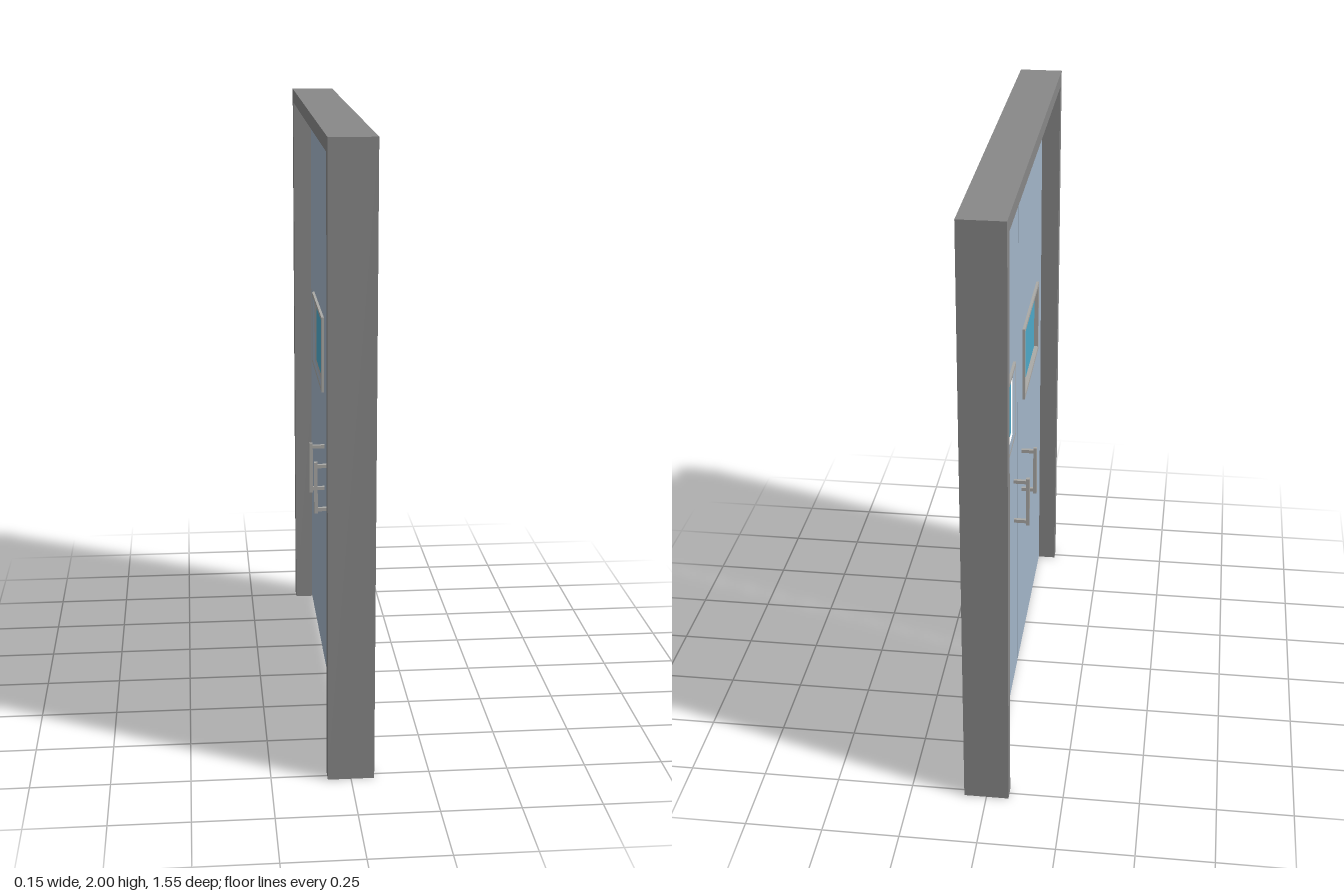
import * as THREE from 'three';

const mat = (color) => new THREE.MeshStandardMaterial({ color });

// Closed rectangle in (z, y), usable as shape or hole
function rect(target, z0, z1, y0, y1) {
  target.moveTo(z0, y0);
  target.lineTo(z1, y0);
  target.lineTo(z1, y1);
  target.lineTo(z0, y1);
  target.closePath();
  return target;
}

// Extrude a (z, y) outline along x, centred on x = 0
function slab(name, shape, depth, material) {
  const geo = new THREE.ExtrudeGeometry(shape, { depth, bevelEnabled: false });
  geo.translate(0, 0, -depth / 2);
  geo.rotateY(-Math.PI / 2);
  const mesh = new THREE.Mesh(geo, material);
  mesh.name = name;
  return mesh;
}

function box(name, w, h, d, x, y, z, material) {
  const mesh = new THREE.Mesh(new THREE.BoxGeometry(w, h, d), material);
  mesh.position.set(x, y, z);
  mesh.name = name;
  return mesh;
}

export function createModel() {
  const group = new THREE.Group();
  group.name = 'doubleDoor';
  const steel = mat(0x888888);
  const paint = mat(0xa4b6c9);
  const glass = mat(0x4ea9ca);
  const trim = mat(0xaaa9a6);

  // Door frame: two jambs and a header in one outline
  const outline = new THREE.Shape([
    [-0.777, 0], [-0.729, 0], [-0.729, 1.953], [0.729, 1.953],
    [0.729, 0], [0.777, 0], [0.777, 2], [-0.777, 2],
  ].map(([z, y]) => new THREE.Vector2(z, y)));
  group.add(slab('doorFrame', outline, 0.146, steel));

  for (const s of [1, -1]) {
    const leaf = new THREE.Group();
    leaf.name = s > 0 ? 'frontLeaf' : 'backLeaf';

    // Leaf panel with a window opening
    const panel = rect(new THREE.Shape(), s * 0.005, s * 0.726, 0.005, 1.949);
    panel.holes.push(rect(new THREE.Path(), s * 0.139, s * 0.555, 1.018, 1.267));
    leaf.add(slab('doorPanel', panel, 0.02, paint));

    // Window surround and pane
    const surround = rect(new THREE.Shape(), s * 0.13, s * 0.566, 1.009, 1.276);
    surround.holes.push(rect(new THREE.Path(), s * 0.143, s * 0.553, 1.022, 1.263));
    leaf.add(slab('windowSurround', surround, 0.038, trim));
    leaf.add(box('windowPane', 0.008, 0.245, 0.414, 0, 1.1425, s * 0.348, glass));

    // Pull handles on both faces
    for (const f of [1, -1]) {
      const handle = new THREE.Group();
      handle.name = 'pullHandle';
      handle.add(box('grip', 0.012, 0.182, 0.012, f * 0.058, 0.74, s * 0.112, trim));
      for (const y of [0.663, 0.817]) {
        handle.add(box('handlePost', 0.046, 0.012, 0.012, f * 0.031, y, s * 0.112, trim));
      }
      leaf.add(handle);
    }
    group.add(leaf);
  }
  return group;
}
